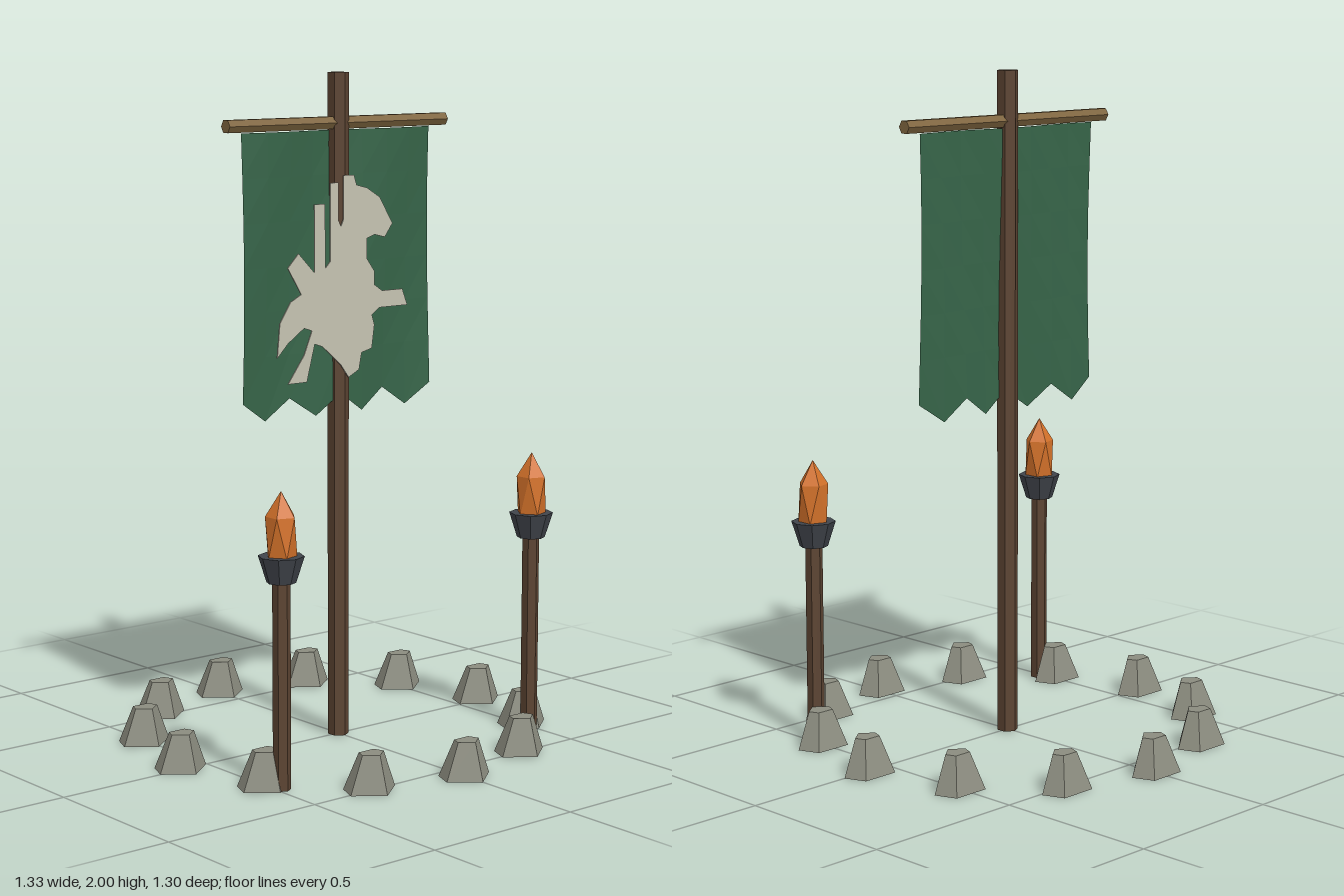
import * as THREE from 'three';
import { ConvexGeometry } from 'three/addons/geometries/ConvexGeometry.js';

const flat = (name, color, side = THREE.FrontSide) =>
  new THREE.MeshStandardMaterial({ name, color, side, flatShading: true });

export function createModel() {
  const wood = flat('dark wood', 0x5c4432);
  const barWood = flat('light wood', 0x826841);
  const cloth = flat('green cloth', 0x376549, THREE.DoubleSide);
  const pale = flat('pale emblem', 0xc6c3b2, THREE.DoubleSide);
  const stone = flat('stone', 0x8c8d80);
  const iron = flat('iron', 0x41454c);
  const fire = flat('fire', 0xd4722a);

  const model = new THREE.Group();
  model.name = 'bannerCamp';

  const add = (parent, name, geometry, material, x = 0, y = 0, z = 0) => {
    const mesh = new THREE.Mesh(geometry, material);
    mesh.name = name;
    mesh.position.set(x, y, z);
    parent.add(mesh);
    return mesh;
  };

  // Pole and crossbar
  add(model, 'pole', new THREE.CylinderGeometry(0.032, 0.032, 2, 6), wood, 0, 1, 0);
  const bar = new THREE.CylinderGeometry(0.021, 0.021, 0.83, 6).rotateZ(Math.PI / 2);
  add(model, 'crossbar', bar, barWood, 0, 1.853, 0);

  // Hanging cloth: gently rippled, with four pointed tails
  const top = 1.832, columns = 8, rows = 6;
  const clothGeo = new THREE.PlaneGeometry(0.72, 1, columns, rows);
  const p = clothGeo.attributes.position;
  for (let i = 0; i < p.count; i++) {
    const col = i % (columns + 1);
    const row = Math.floor(i / (columns + 1));
    const bodyY = top - (row / rows) * (top - 1.05);
    const tail = row === rows && col % 2 === 1 ? 0.06 : 0;
    const ripple = 0.011 * Math.sin(col * 1.25 + row * 0.5);
    p.setXYZ(i, p.getX(i), bodyY - tail, ripple);
  }
  add(model, 'bannerCloth', clothGeo, cloth);

  // Beast silhouette as a thin plate in front of the pole (hundredths of a unit)
  const outline = [
    [-1, 170], [3, 170], [4, 167], [8, 166], [13, 163], [18, 155], [15, 151], [11, 152],
    [8, 151], [8, 145], [11, 141], [11, 137], [14, 135], [22, 135], [24, 130], [13, 130],
    [10, 128], [11, 125], [10, 118], [6, 117], [5, 112], [1, 110], [-2, 114], [-9, 120],
    [-12, 121], [-15, 110], [-22, 110], [-16, 118], [-13, 125], [-16, 126], [-22, 122],
    [-26, 118], [-25, 128], [-21, 134], [-17, 136], [-22, 144], [-18, 148], [-12, 142],
    [-12, 162], [-8, 162], [-8, 143], [-6, 145], [-6, 168], [-3, 168], [-3, 157],
    [-2, 155], [-1, 157],
  ].map(([x, y]) => new THREE.Vector2(x / 100, y / 100));
  const plate = new THREE.ExtrudeGeometry(new THREE.Shape(outline), { depth: 0.004, bevelEnabled: false });
  add(model, 'emblem', plate, pale, 0, 0, 0.033);

  // Faceted flame: two staggered rings of five and two tips
  const flamePoints = [new THREE.Vector3(0, 0.13, 0), new THREE.Vector3(0, -0.13, 0)];
  for (let i = 0; i < 10; i++) {
    const a = (i * Math.PI) / 5;
    flamePoints.push(new THREE.Vector3(0.045 * Math.cos(a), i % 2 ? -0.058 : 0.058, 0.045 * Math.sin(a)));
  }
  const flameGeo = new ConvexGeometry(flamePoints);

  // Torches
  for (const side of [-1, 1]) {
    const torch = new THREE.Group();
    torch.name = side < 0 ? 'rightTorch' : 'leftTorch';
    torch.position.set(side * 0.483, 0, 0.333);
    add(torch, 'torchPole', new THREE.CylinderGeometry(0.026, 0.026, 0.62, 6), wood, 0, 0.31, 0);
    add(torch, 'torchCup', new THREE.CylinderGeometry(0.066, 0.042, 0.076, 8), iron, 0, 0.638, 0);
    add(torch, 'flame', flameGeo, fire, 0, 0.73, 0);
    model.add(torch);
  }

  // Ring of twelve five-sided stones
  const base = [[0, 0.063], [0.082, 0], [0.057, -0.064], [-0.057, -0.064], [-0.082, 0]];
  const stoneGeo = new ConvexGeometry(base.flatMap(([x, z]) => [
    new THREE.Vector3(x, 0, z),
    new THREE.Vector3(x * 0.48, 0.11, z * 0.48),
  ]));
  const ring = new THREE.Group();
  ring.name = 'stoneRing';
  for (let i = 0; i < 12; i++) {
    const a = (i * Math.PI) / 6;
    add(ring, 'stone', stoneGeo, stone, 0.585 * Math.cos(a), 0, 0.585 * Math.sin(a));
  }
  model.add(ring);

  return model;
}
